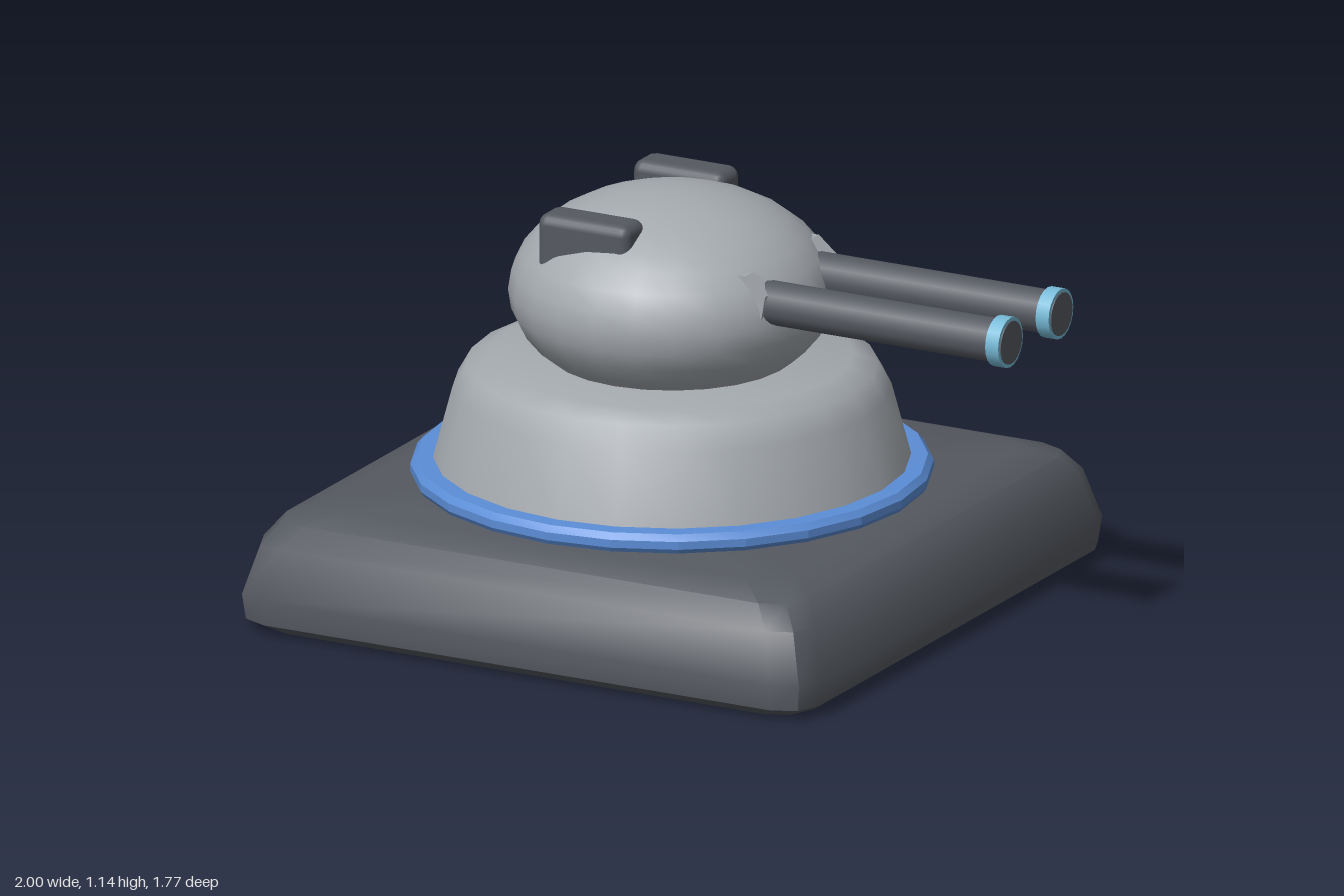
import * as THREE from 'three';
import { toCreasedNormals } from 'three/addons/utils/BufferGeometryUtils.js';
import { RoundedBoxGeometry } from 'three/addons/geometries/RoundedBoxGeometry.js';

const CX = -0.118; // axis of base and turret

const mat = (name, color) => {
  const m = new THREE.MeshStandardMaterial({ color });
  m.name = name;
  return m;
};

// Square plinth with rounded corners, lofted through [half size, height] rings
function plinthGeometry(profile, radius) {
  const pos = [], index = [];
  const perCorner = 3, n = perCorner * 4;
  for (const [half, y] of profile) {
    for (let c = 0; c < 4; c++) {
      const mid = (c + 0.5) * Math.PI / 2;
      const px = Math.sign(Math.cos(mid)) * (half - radius);
      const pz = Math.sign(Math.sin(mid)) * (half - radius);
      for (let k = 0; k < perCorner; k++) {
        const a = (c + k / (perCorner - 1)) * Math.PI / 2;
        pos.push(px + radius * Math.cos(a), y, pz + radius * Math.sin(a));
      }
    }
  }
  const last = profile.length - 1;
  for (let r = 0; r < last; r++) {
    for (let i = 0; i < n; i++) {
      const a = r * n + i, b = r * n + (i + 1) % n;
      index.push(a, a + n, b, b, a + n, b + n);
    }
  }
  // Bottom and top caps
  const bottom = pos.length / 3, top = bottom + 1;
  pos.push(0, profile[0][1], 0, 0, profile[last][1], 0);
  for (let i = 0; i < n; i++) {
    const j = (i + 1) % n;
    index.push(bottom, i, j, top, last * n + j, last * n + i);
  }
  const g = new THREE.BufferGeometry();
  g.setAttribute('position', new THREE.Float32BufferAttribute(pos, 3));
  g.setIndex(index);
  return toCreasedNormals(g, 0.65);
}

const lathe = (points, crease) => toCreasedNormals(
  new THREE.LatheGeometry(points.map(([r, y]) => new THREE.Vector2(r, y)), 24), crease);

export function createModel() {
  const group = new THREE.Group();
  group.name = 'gunTurret';
  const dark = mat('darkGrey', 0x555960);
  const grey = mat('lightGrey', 0xa4a9ae);
  const blue = mat('blue', 0x5b8dd6);
  const cyan = mat('paleBlue', 0x76b9d6);

  const add = (name, geometry, material, x = 0, y = 0, z = 0) => {
    const mesh = new THREE.Mesh(geometry, material);
    mesh.name = name;
    mesh.position.set(x, y, z);
    group.add(mesh);
    return mesh;
  };

  // Base, trim ring and pedestal
  add('base', plinthGeometry([[0.83, 0], [0.875, 0.03], [0.883, 0.1],
    [0.845, 0.24], [0.8, 0.3], [0.71, 0.33]], 0.1), dark, CX);
  add('trimRing', lathe([[0.69, 0.32], [0.705, 0.343], [0.705, 0.365],
    [0.69, 0.382], [0.63, 0.384]], 0.2), blue, CX);
  add('pedestal', lathe([[0.655, 0.35], [0.645, 0.38], [0.592, 0.58],
    [0.555, 0.645], [0.49, 0.672], [0, 0.672]], 0.75), grey, CX);

  // Flattened round turret
  const turret = add('turret', new THREE.SphereGeometry(1, 24, 16), grey, CX, 0.857, 0);
  turret.scale.set(0.442, 0.28, 0.442);

  // Side profile of the collar from which each barrel emerges
  const collarShape = new THREE.Shape([[0.1, 0.84], [0.26, 0.84], [0.28, 0.95],
    [0.22, 1.0], [0.1, 1.0]].map(([x, y]) => new THREE.Vector2(x, y)));

  for (const side of [1, -1]) {
    const prefix = side > 0 ? 'left' : 'right';
    const z = side * 0.142, y = 0.915;
    const rod = (name, r, x0, x1, material) => {
      const m = add(prefix + name, new THREE.CylinderGeometry(r, r, x1 - x0, 20),
        material, (x0 + x1) / 2, y, z);
      m.rotation.z = -Math.PI / 2;
    };
    rod('Barrel', 0.06, 0.15, 0.97, dark);
    rod('MuzzleRing', 0.07, 0.957, 0.997, cyan);
    rod('Bore', 0.06, 0.99, 1.0, dark);
    add(prefix + 'Collar', new THREE.ExtrudeGeometry(collarShape,
      { depth: 0.13, bevelEnabled: false }), grey, 0, 0, z - 0.065);

    // Raised block on the turret shoulder
    add(prefix + 'ShoulderBlock', new RoundedBoxGeometry(0.28, 0.2, 0.115, 2, 0.03),
      dark, -0.22, 1.02, side * 0.267);
  }
  return group;
}
